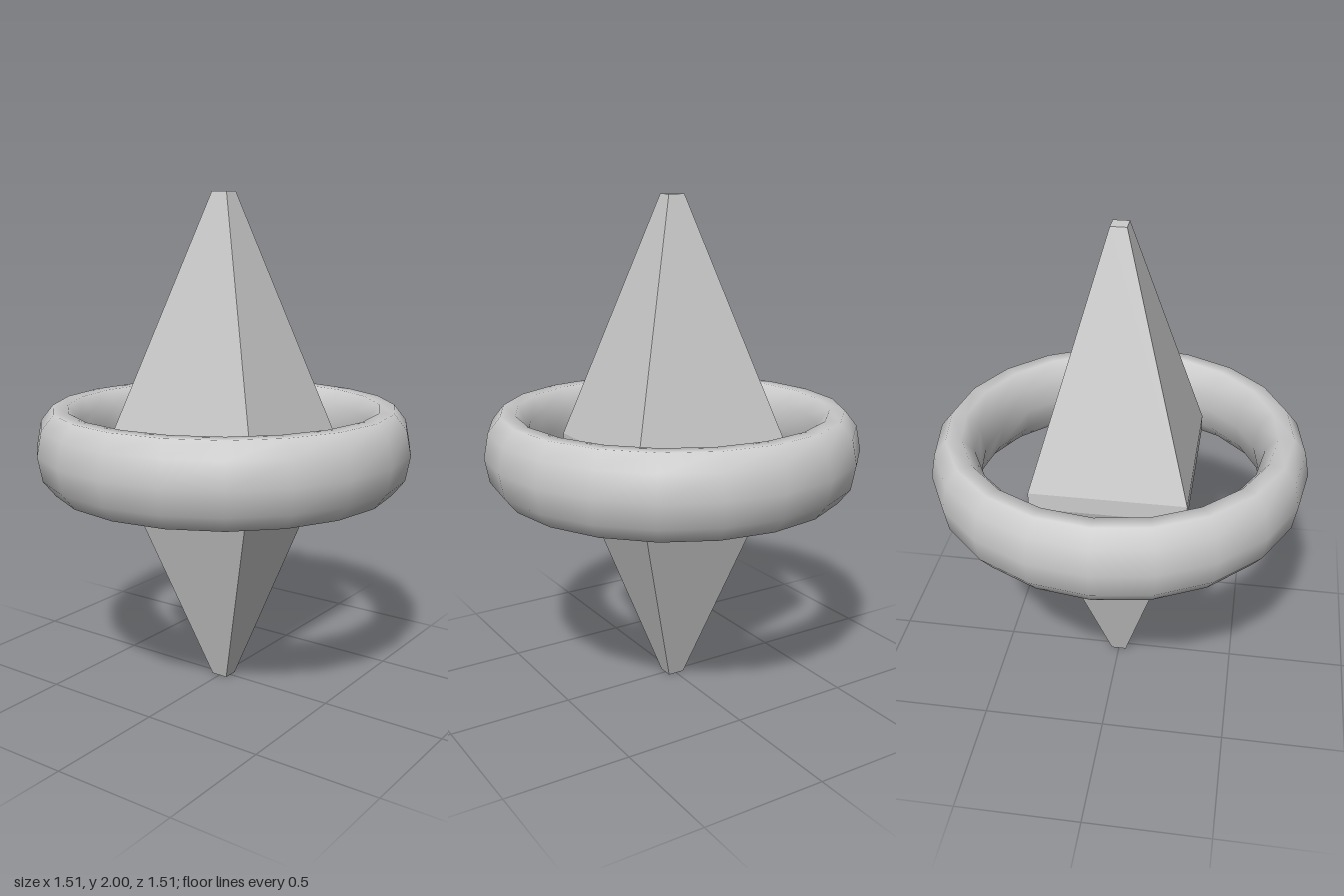
import * as THREE from 'three';

export function createModel() {
  const group = new THREE.Group();

  // Four-sided double spike: blunt tips and a narrow straight waist
  const tip = 0.035, waist = 0.34, band = 0.035;
  const profile = [
    [0, 0], [tip, 0], [waist, 1 - band], [waist, 1 + band], [tip, 2], [0, 2],
  ].map(([half, y]) => new THREE.Vector2(half * Math.SQRT2, y));
  const spikeGeometry = new THREE.LatheGeometry(profile, 4, Math.PI / 4);
  spikeGeometry.scale(1, 1, 0.9);
  const spike = new THREE.Mesh(
    spikeGeometry,
    new THREE.MeshStandardMaterial({ color: 0xcccccc, flatShading: true }),
  );
  spike.name = 'spike';
  group.add(spike);

  // Floating ring with a tall oval section
  const ringGeometry = new THREE.TorusGeometry(0.659, 0.0985, 10, 20);
  ringGeometry.rotateX(Math.PI / 2);
  ringGeometry.scale(1, 1.726, 1);
  ringGeometry.translate(0, 1, 0);
  const ring = new THREE.Mesh(
    ringGeometry,
    new THREE.MeshStandardMaterial({ color: 0xcccccc }),
  );
  ring.name = 'ring';
  group.add(ring);

  return group;
}
